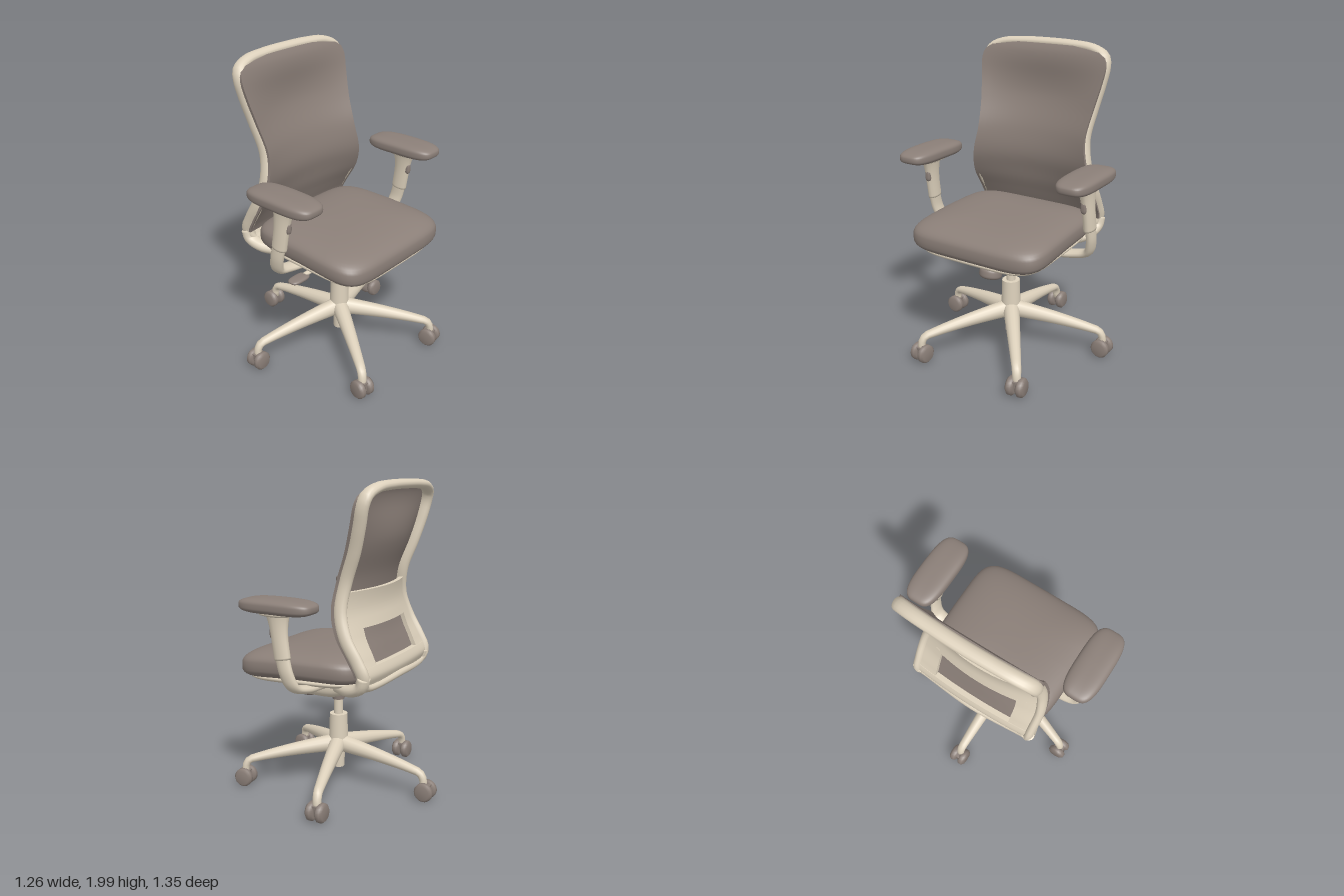
import * as THREE from 'three';
import { mergeVertices } from 'three/addons/utils/BufferGeometryUtils.js';

const cream = new THREE.MeshStandardMaterial({ color: 0xddd1bc });
cream.name = 'cream plastic';
const taupe = new THREE.MeshStandardMaterial({ color: 0x8b7f78 });
taupe.name = 'taupe fabric';

const V = (x, y, z) => new THREE.Vector3(x, y, z);
const path = (pts, closed = false) => new THREE.CatmullRomCurve3(pts.map(p => V(...p)), closed);

function add(parent, name, geo, mat, x = 0, y = 0, z = 0) {
  const m = new THREE.Mesh(geo, mat);
  m.name = name;
  m.position.set(x, y, z);
  parent.add(m);
  return m;
}

// Elliptical sweep: size(t) gives [half size along ref, half size across it]
function sweep(curve, ref, size, steps = 24, closed = false, sides = 14) {
  const pos = [], idx = [];
  for (let i = 0; i <= steps; i++) {
    const t = i / steps, p = curve.getPointAt(t), tan = curve.getTangentAt(t);
    const n = ref.clone().addScaledVector(tan, -ref.dot(tan)).normalize();
    const b = tan.clone().cross(n), [sa, sb] = size(t);
    for (let j = 0; j < sides; j++) {
      const a = j / sides * Math.PI * 2;
      const q = p.clone().addScaledVector(n, Math.cos(a) * sa).addScaledVector(b, Math.sin(a) * sb);
      pos.push(q.x, q.y, q.z);
    }
  }
  for (let i = 0; i < steps; i++) for (let j = 0; j < sides; j++) {
    const k = (j + 1) % sides, r = i * sides, s = r + sides;
    idx.push(r + j, r + k, s + j, r + k, s + k, s + j);
  }
  if (!closed) for (const end of [0, 1]) {
    const p = curve.getPointAt(end), c = pos.length / 3, r = end * steps * sides;
    pos.push(p.x, p.y, p.z);
    for (let j = 0; j < sides; j++) {
      const k = (j + 1) % sides;
      idx.push(c, r + (end ? j : k), r + (end ? k : j));
    }
  }
  const g = new THREE.BufferGeometry();
  g.setAttribute('position', new THREE.Float32BufferAttribute(pos, 3));
  g.setIndex(idx);
  g.computeVertexNormals();
  return g;
}

// Pillow: superellipse in plan and in section, with an optional warp of each point
function pillow(hx, hy, hz, plan, section, warp) {
  let g = new THREE.SphereGeometry(1, 56, 28);
  g.deleteAttribute('uv');
  g.deleteAttribute('normal');
  const p = g.attributes.position, v = V(0, 0, 0);
  const pw = (c, n) => Math.sign(c) * Math.abs(c) ** (2 / n);
  for (let i = 0; i < p.count; i++) {
    v.fromBufferAttribute(p, i);
    const r = Math.hypot(v.x, v.z), s = pw(r, section);
    const c = r > 1e-6 ? v.x / r : 0, d = r > 1e-6 ? v.z / r : 0;
    v.set(hx * s * pw(c, plan), hy * pw(v.y, section), hz * s * pw(d, plan));
    if (warp) warp(v);
    p.setXYZ(i, v.x, v.y, v.z);
  }
  g = mergeVertices(g, 1e-5);
  g.computeVertexNormals();
  return g;
}

// Side edge of the backrest: x, height, half width
const edge = [
  [-0.335, 0.82, 0.40], [-0.352, 0.88, 0.425], [-0.31, 0.97, 0.43], [-0.235, 1.1, 0.43],
  [-0.19, 1.25, 0.405], [-0.21, 1.42, 0.378], [-0.275, 1.6, 0.395], [-0.32, 1.75, 0.42],
  [-0.346, 1.86, 0.432], [-0.363, 1.915, 0.413], [-0.38, 1.953, 0.33], [-0.39, 1.967, 0.18]];
const edgePoints = path(edge).getPoints(120);

function edgeAt(y) {
  let i = 1;
  while (i < 120 && edgePoints[i].y < y) i++;
  const a = edgePoints[i - 1], b = edgePoints[i];
  return a.clone().lerp(b, THREE.MathUtils.clamp((y - a.y) / (b.y - a.y), 0, 1));
}

// Curved slab that follows the backrest between two heights and two width fractions;
// it bows back in the middle, most of all at the lumbar
function backSlab(y0, y1, u0, u1, offset, thick) {
  const g = new THREE.BoxGeometry(1, 1, 1, 1, 40, 20), p = g.attributes.position;
  const { smoothstep } = THREE.MathUtils;
  for (let i = 0; i < p.count; i++) {
    const y = y0 + (y1 - y0) * (p.getY(i) + 0.5), u = u0 + (u1 - u0) * (p.getZ(i) + 0.5);
    const e = edgeAt(y);
    const bow = (0.02 + 0.048 * smoothstep(y, 0.88, 1.2)) * smoothstep(1.97 - y, 0, 0.35);
    p.setXYZ(i, e.x - bow * (1 - u * u) + offset + p.getX(i) * thick, y, u * e.z);
  }
  g.computeVertexNormals();
  return g;
}

function buildBase(root) {
  const base = new THREE.Group();
  base.name = 'base';
  base.position.x = 0.058;
  root.add(base);
  add(base, 'hub', new THREE.CylinderGeometry(0.058, 0.066, 0.24, 28), cream, 0, 0.36);
  add(base, 'hubFoot', new THREE.CylinderGeometry(0.045, 0.038, 0.16, 24), cream, 0, 0.19);
  add(base, 'gasColumn', new THREE.CylinderGeometry(0.03, 0.03, 0.2, 24), cream, 0, 0.56);
  add(base, 'columnCollar', new THREE.CylinderGeometry(0.046, 0.04, 0.05, 24), taupe, 0, 0.605);
  const legPath = path([[0.02, 0.275, 0], [0.3, 0.237, 0], [0.53, 0.194, 0], [0.595, 0.175, 0], [0.616, 0.14, 0], [0.618, 0.09, 0]]);
  const legGeo = sweep(legPath, V(0, 0, 1), t => [0.055 - 0.03 * t, 0.058 - 0.034 * Math.min(1, t * 1.15)]);
  const wheelGeo = new THREE.LatheGeometry(
    [[0, -0.026], [0.045, -0.026], [0.06, -0.012], [0.06, 0.012], [0.045, 0.026], [0, 0.026]].map(a => new THREE.Vector2(...a)), 24);
  [0, 18, 28, -28, -18].forEach((swivel, i) => {
    const leg = new THREE.Group();
    leg.name = 'leg';
    leg.rotation.y = Math.PI + i * Math.PI * 0.4;
    base.add(leg);
    add(leg, 'legSpoke', legGeo, cream);
    const caster = new THREE.Group();
    caster.name = 'caster';
    caster.position.set(i ? 0.618 : 0.634, 0.066, 0);
    caster.rotation.y = THREE.MathUtils.degToRad(swivel);
    leg.add(caster);
    for (const s of [-1, 1])
      add(caster, 'casterWheel', wheelGeo, taupe, 0, 0, s * 0.033).rotation.x = Math.PI / 2;
    add(caster, 'casterBody', new THREE.BoxGeometry(0.07, 0.07, 0.03), taupe, 0, 0.01);
  });
}

function buildSeat(root) {
  const seatWarp = v => {
    v.z *= 0.985 + 0.06 * v.x;
    v.y += -0.04 * v.x - 0.1 * v.x * v.x;
  };
  add(root, 'seatCushion', pillow(0.43, 0.11, 0.475, 6, 3.1, seatWarp), taupe, 0.13, 0.876);
  add(root, 'seatPan', pillow(0.405, 0.055, 0.43, 5, 2.2, v => { v.y -= 0.04 * v.x; }), cream, 0.13, 0.79);
  add(root, 'tiltMechanism', pillow(0.235, 0.11, 0.21, 4, 3.6, v => { if (v.y < 0) v.x *= 1 + 2 * v.y; }), cream, 0.13, 0.73);
  const knob = add(root, 'tensionKnob', pillow(0.07, 0.038, 0.074, 2, 3.5), taupe, 0.29, 0.62);
  knob.rotation.z = 0.2;
  const lever = path([[0.06, 0.69, 0.18], [0.06, 0.67, 0.28], [0.06, 0.665, 0.34]]);
  add(root, 'leverStem', sweep(lever, V(1, 0, 0), () => [0.018, 0.014]), cream);
  add(root, 'leverPaddle', pillow(0.042, 0.016, 0.075, 3, 2.5), taupe, 0.06, 0.66, 0.39);
}

function buildBack(root) {
  const back = new THREE.Group();
  back.name = 'backrest';
  root.add(back);
  const other = edge.map(([x, y, z]) => [x, y, -z]).reverse();
  const loop = path([...edge, [-0.394, 1.97, 0], ...other, [-0.36, 0.815, 0]], true);
  add(back, 'backFrame', sweep(loop, V(1, 0, 0), () => [0.042, 0.029], 150, true), cream);
  add(back, 'backMesh', backSlab(0.88, 1.966, -1.045, 1.045, 0.036, 0.022), taupe);
  add(back, 'lumbarPanel', backSlab(1.14, 1.36, -0.98, 0.98, -0.004, 0.03), cream);
  add(back, 'lowerPanel', backSlab(0.825, 0.93, -0.98, 0.98, -0.005, 0.035), cream);
  for (const s of [-1, 1]) {
    add(back, 'backStrut', backSlab(0.91, 1.16, s * 0.81 - 0.16, s * 0.81 + 0.16, -0.004, 0.03), cream);
    const arm = path([[-0.355, 0.88, s * 0.42], [-0.335, 0.82, s * 0.415], [-0.25, 0.78, s * 0.39], [-0.12, 0.763, s * 0.3]]);
    add(back, 'backSupport', sweep(arm, V(0, 0, 1), () => [0.045, 0.037]), cream);
  }
}

function buildArm(root, s) {
  const arm = new THREE.Group();
  arm.name = s > 0 ? 'leftArm' : 'rightArm';
  root.add(arm);
  const padWarp = v => {
    v.z *= 1 - 0.4 * v.x * v.x;
    v.y += 0.012 * (v.x > 0 ? -v.x : v.x);
  };
  add(arm, 'armPad', pillow(0.25, 0.047, 0.11, 3.6, 3.1, padWarp), taupe, 0.13, 1.285, s * 0.567);
  add(arm, 'padPlate', pillow(0.11, 0.022, 0.07, 3, 3), cream, 0.14, 1.243, s * 0.57);
  // Lower post bends under the seat
  const post = path([[0.1, 1.0, s * 0.585], [0.07, 0.88, s * 0.582], [0.045, 0.8, s * 0.552], [0.035, 0.765, s * 0.46], [0.05, 0.735, s * 0.22]]);
  add(arm, 'armPost', sweep(post, V(1, 0, 0), () => [0.048, 0.026], 32), cream);
  const sleeve = path([[0.095, 0.97, s * 0.583], [0.115, 1.1, s * 0.58], [0.13, 1.24, s * 0.573]]);
  add(arm, 'armSleeve', sweep(sleeve, V(1, 0, 0), t => [0.054 + 0.03 * t ** 4, 0.034 + 0.012 * t ** 4]), cream);
  add(arm, 'heightButton', pillow(0.018, 0.038, 0.018, 3, 3), taupe, 0.165, 1.125, s * 0.575);
}

export function createModel() {
  const chair = new THREE.Group();
  chair.name = 'officeChair';
  buildBase(chair);
  buildSeat(chair);
  buildBack(chair);
  for (const s of [-1, 1]) buildArm(chair, s);
  return chair;
}
